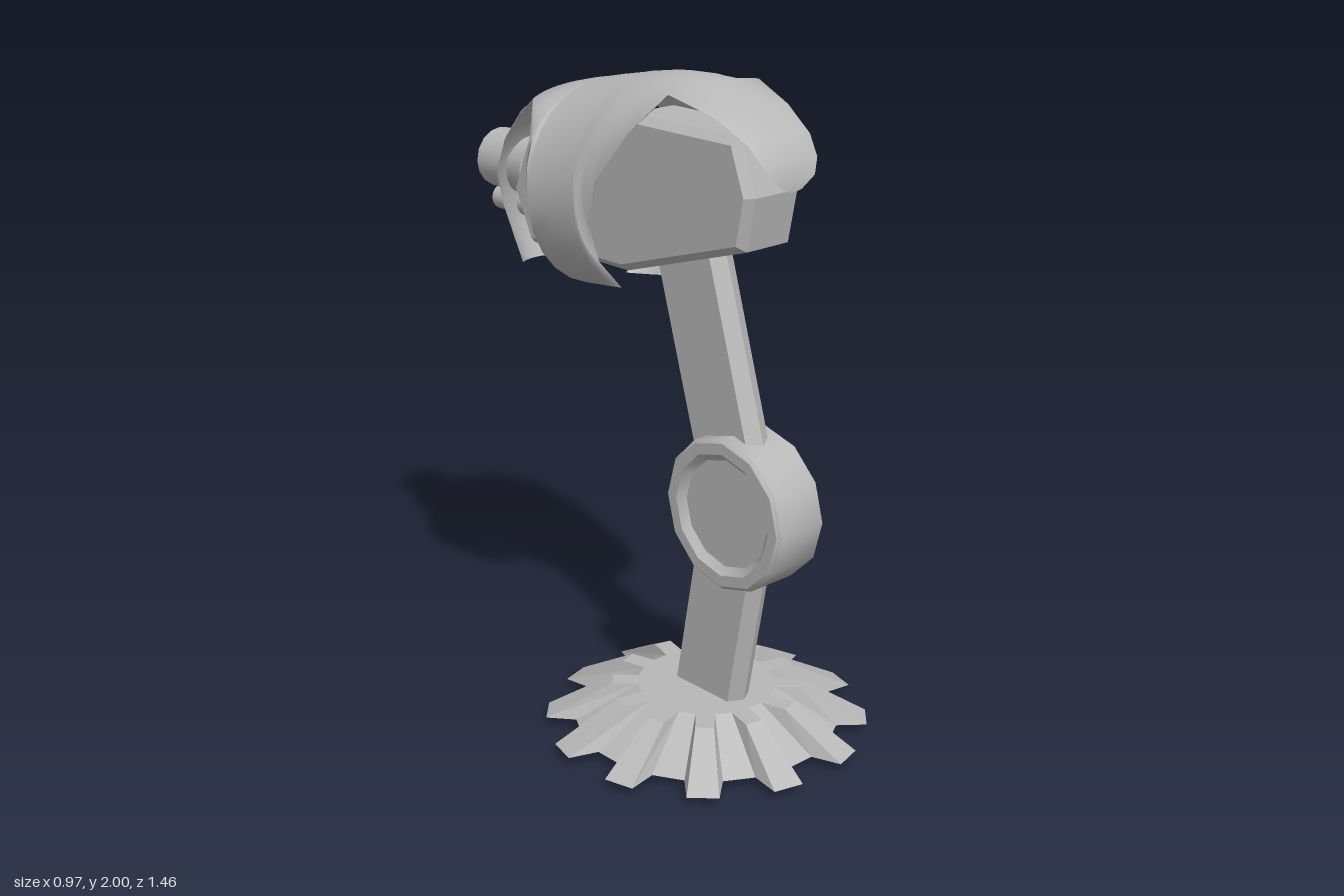
import * as THREE from 'three';
import { toCreasedNormals } from 'three/addons/utils/BufferGeometryUtils.js';

const V2 = (list) => list.map(([x, y]) => new THREE.Vector2(x, y));
const rad = THREE.MathUtils.degToRad;

export function createModel() {
  const model = new THREE.Group();
  const grey = new THREE.MeshStandardMaterial({ color: 0xb8b8b8 });
  grey.name = 'lightGrey';
  const greyThin = new THREE.MeshStandardMaterial({ color: 0xb8b8b8, side: THREE.DoubleSide });
  greyThin.name = 'lightGreyThin';

  const add = (name, geometry, x = 0, y = 0, z = 0, material = grey) => {
    const mesh = new THREE.Mesh(geometry, material);
    mesh.name = name;
    mesh.position.set(x, y, z);
    model.add(mesh);
    return mesh;
  };

  // Gear outline: twelve tapered teeth, as [x, y] points
  const gear = (root, tip) => {
    const pts = [];
    for (let k = 0; k < 12; k++) {
      for (const [offset, r] of [[-8, root], [-5.5, tip], [5.5, tip], [8, root]]) {
        const a = rad(15 + 30 * k + offset);
        pts.push([r * Math.cos(a), r * Math.sin(a)]);
      }
    }
    return pts;
  };

  // Flared gear foot: top plate, sloping walls, flat underside with a hole
  const low = gear(0.4, 0.492), high = gear(0.21, 0.29);
  const y0 = 0.03, y1 = 0.143, baseZ = 0.243;
  const walls = [];
  low.forEach((p, i) => {
    const j = (i + 1) % low.length;
    const b0 = [p[0], y0, -p[1]], b1 = [low[j][0], y0, -low[j][1]];
    const t0 = [high[i][0], y1, -high[i][1]], t1 = [high[j][0], y1, -high[j][1]];
    walls.push(...b0, ...b1, ...t1, ...b0, ...t1, ...t0);
  });
  const wallGeometry = new THREE.BufferGeometry();
  wallGeometry.setAttribute('position', new THREE.Float32BufferAttribute(walls, 3));
  wallGeometry.computeVertexNormals();
  add('footTeeth', wallGeometry, 0, 0, baseZ, greyThin);
  add('footTop', new THREE.ShapeGeometry(new THREE.Shape(V2(high))).rotateX(-Math.PI / 2),
    0, y1, baseZ, greyThin);
  const under = new THREE.Shape(V2(low));
  under.holes.push(new THREE.Path().absarc(0, 0, 0.27, 0, Math.PI * 2, true));
  add('footUnderside', new THREE.ShapeGeometry(under, 12).rotateX(Math.PI / 2),
    0, y0, baseZ, greyThin);

  // Arms: six-sided bars with a ridge down the front and back
  const arm = (name, y, z, length, tilt) => {
    const w = 0.1325, s = 0.108, t = 0.045;
    const section = new THREE.Shape(V2([[0, -w], [t, -s], [t, s], [0, w], [-t, s], [-t, -s]]));
    const bar = new THREE.ExtrudeGeometry(section, { depth: length, bevelEnabled: false });
    bar.rotateX(-Math.PI / 2);
    add(name, bar, 0, y, z).rotation.x = rad(tilt);
  };
  arm('lowerArm', 0.023, 0.248, 0.7, 10);
  arm('upperArm', 0.765, 0.39, 0.82, -16.7);

  // Elbow: twelve-sided drum, dished on both sides
  const half = [[0, 0.072], [0.165, 0.072], [0.188, 0.093], [0.222, 0.093], [0.233, 0.083]];
  const drum = [...half.map(([r, h]) => [r, -h]), ...half.slice().reverse()];
  add('elbowJoint', toCreasedNormals(new THREE.LatheGeometry(V2(drum), 12).rotateZ(-Math.PI / 2), 0.6),
    0, 0.765, 0.39);

  // Head core: chamfered slab drawn as a side outline in (z, y)
  const outline = new THREE.Shape(V2([[0.495, 1.715], [0.437, 1.873], [0, 1.873], [-0.453, 1.74],
    [-0.527, 1.57], [-0.448, 1.407], [-0.02, 1.407], [0.464, 1.56]]));
  const core = new THREE.ExtrudeGeometry(outline, {
    depth: 0.16, bevelThickness: 0.025, bevelSize: 0.022, bevelOffset: -0.022, bevelSegments: 1,
  });
  add('headCore', core.translate(0, 0, -0.08).rotateY(-Math.PI / 2));

  // Hood: each station is [spine z, spine y, half width, sweep in degrees, edge z, edge y]
  const stations = [
    // front tongue
    [0.56, 1.733, 0.035, 60, 0.56, 1.738], [0.56, 1.765, 0.09, 60, 0.56, 1.768],
    [0.547, 1.815, 0.12, 60, 0.543, 1.81], [0.507, 1.873, 0.137, 60, 0.5, 1.865],
    [0.405, 1.94, 0.162, 60, 0.395, 1.927], [0.26, 1.988, 0.2, 60, 0.25, 1.972],
    // front edge of the side straps
    [0.19, 2.0, 0.22, 80, 0.14, 1.86], [0.12, 1.998, 0.25, 95, 0.035, 1.71],
    [0.06, 1.992, 0.267, 125, -0.03, 1.56], [0, 1.982, 0.277, 145, -0.055, 1.44],
    // strap bottoms
    [-0.04, 1.973, 0.28, 160, -0.03, 1.355], [-0.12, 1.957, 0.29, 163, -0.12, 1.342],
    [-0.205, 1.938, 0.3, 165, -0.205, 1.33],
    // rear edge of the straps
    [-0.215, 1.936, 0.3, 130, -0.207, 1.48], [-0.225, 1.934, 0.3, 95, -0.207, 1.66],
    [-0.25, 1.929, 0.27, 65, -0.25, 1.83], [-0.31, 1.914, 0.225, 60, -0.3, 1.885],
    // rear flap
    [-0.44, 1.84, 0.219, 60, -0.37, 1.83], [-0.525, 1.757, 0.21, 60, -0.455, 1.735],
    [-0.575, 1.66, 0.18, 60, -0.53, 1.62], [-0.595, 1.52, 0.16, 60, -0.523, 1.52],
    [-0.583, 1.45, 0.138, 60, -0.487, 1.4], [-0.562, 1.38, 0.11, 60, -0.49, 1.34],
    [-0.54, 1.325, 0.07, 60, -0.533, 1.32],
  ];
  const cols = 24, points = [], faces = [];
  stations.forEach(([sz, sy, w, sweep, ez, ey], i) => {
    const a = rad(sweep);
    for (let j = 0; j <= cols; j++) {
      const th = a * (2 * j / cols - 1);
      const drop = (1 - Math.cos(th)) / (1 - Math.cos(a));
      points.push(w * Math.sin(th), sy + (ey - sy) * drop, sz + (ez - sz) * drop);
      if (i < stations.length - 1 && j < cols) {
        const p = i * (cols + 1) + j, q = p + cols + 1;
        faces.push(p, p + 1, q, p + 1, q + 1, q);
      }
    }
  });
  const hood = new THREE.BufferGeometry();
  hood.setAttribute('position', new THREE.Float32BufferAttribute(points, 3));
  hood.setIndex(faces);
  hood.computeVertexNormals();
  add('hood', hood, 0, 0, 0, greyThin);

  // Rear knobs: chamfered cylinders pointing backwards
  const knob = (name, r, bevel, y, end) => {
    const profile = V2([[0, 0], [r, 0], [r, end - 0.5 - bevel], [r - bevel, end - 0.5], [0, end - 0.5]]);
    const lathe = new THREE.LatheGeometry(profile, 16).rotateX(-Math.PI / 2);
    add(name, toCreasedNormals(lathe, 0.6), 0, y, -0.5);
  };
  knob('largeKnob', 0.093, 0.02, 1.618, 0.728);
  knob('smallKnob', 0.039, 0.01, 1.491, 0.717);

  return model;
}
